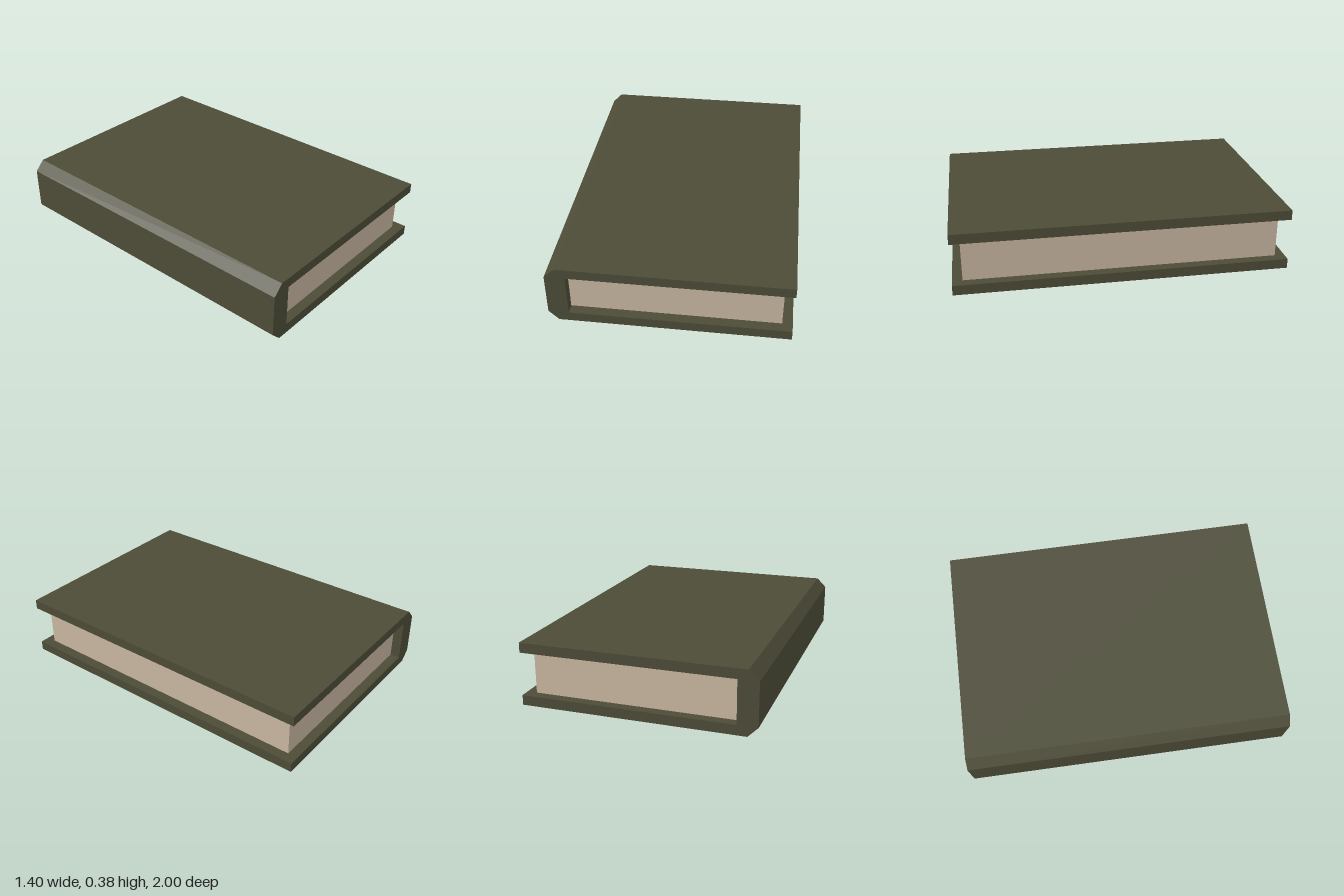
import * as THREE from 'three';

const W = 0.70, H = 0.38, T = 0.06; // half width, height, board thickness
const SPINE_INNER = -0.58, CHAMFER = 0.06;

export function createModel() {
  const book = new THREE.Group();
  book.name = 'book';

  const coverMaterial = new THREE.MeshStandardMaterial({ color: 0x4d4c38 });
  coverMaterial.name = 'olive cover';
  const paperMaterial = new THREE.MeshStandardMaterial({ color: 0xc9b7a1 });
  paperMaterial.name = 'cream paper';

  // Cover: C-shaped section with a chamfered spine, run along the book's length
  const section = new THREE.Shape([
    [-W + CHAMFER, 0], [W, 0], [W, T], [SPINE_INNER, T],
    [SPINE_INNER, H - T], [W, H - T], [W, H], [-W + CHAMFER, H],
    [-W, H - CHAMFER], [-W, CHAMFER],
  ].map(([x, y]) => new THREE.Vector2(x, y)));
  const coverGeometry = new THREE.ExtrudeGeometry(section, { depth: 2, bevelEnabled: false });
  coverGeometry.translate(0, 0, -1);
  const cover = new THREE.Mesh(coverGeometry, coverMaterial);
  cover.name = 'cover';

  // Page block: set back from the three open edges
  const pageEnd = W - T;
  const pages = new THREE.Mesh(
    new THREE.BoxGeometry(pageEnd - SPINE_INNER, H - 2 * T, 1.88), paperMaterial);
  pages.position.set((pageEnd + SPINE_INNER) / 2, H / 2, 0);
  pages.name = 'pages';

  book.add(cover, pages);
  return book;
}
